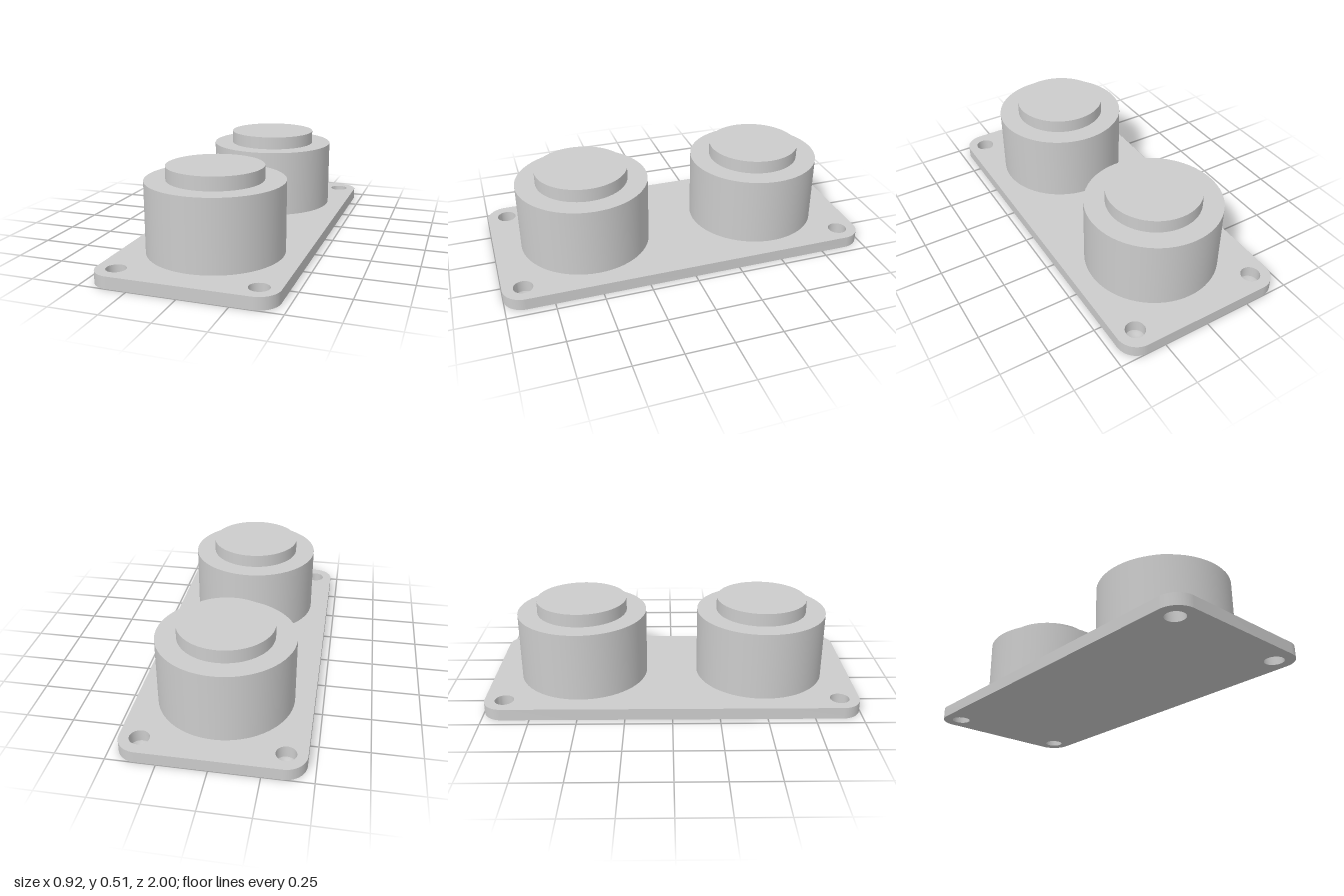
import * as THREE from 'three';
import { toCreasedNormals } from 'three/addons/utils/BufferGeometryUtils.js';

const HALF_W = 0.458, HALF_L = 1, CORNER = 0.107;
const PLATE_TOP = 0.063, BODY_TOP = 0.435, CAP_TOP = 0.506;

const material = new THREE.MeshStandardMaterial({ color: 0xcccccc });

function addMesh(parent, name, geometry) {
  const mesh = new THREE.Mesh(geometry, material);
  mesh.name = name;
  parent.add(mesh);
  return mesh;
}

// Rounded plate with a screw hole through each corner
function plateGeometry() {
  const cx = HALF_W - CORNER, cy = HALF_L - CORNER;
  const shape = new THREE.Shape();
  shape.absarc(cx, cy, CORNER, 0, Math.PI / 2);
  shape.absarc(-cx, cy, CORNER, Math.PI / 2, Math.PI);
  shape.absarc(-cx, -cy, CORNER, Math.PI, Math.PI * 1.5);
  shape.absarc(cx, -cy, CORNER, Math.PI * 1.5, Math.PI * 2);
  shape.closePath();
  for (const sx of [-1, 1]) {
    for (const sy of [-1, 1]) {
      shape.holes.push(new THREE.Path().absarc(sx * 0.355, sy * 0.893, 0.051, 0, Math.PI * 2, true));
    }
  }
  const geometry = new THREE.ExtrudeGeometry(shape, { depth: PLATE_TOP, bevelEnabled: false, curveSegments: 16 });
  geometry.rotateX(-Math.PI / 2);
  return toCreasedNormals(geometry, Math.PI / 6);
}

// Upright cylinder standing between two heights
function drum(radius, bottom, top) {
  return new THREE.CylinderGeometry(radius, radius, top - bottom, 64).translate(0, (bottom + top) / 2, 0);
}

export function createModel() {
  const model = new THREE.Group();
  model.name = 'twinDrumPlate';
  addMesh(model, 'basePlate', plateGeometry());

  // Two stepped drums along the plate
  for (const [name, z] of [['frontDrum', 0.497], ['backDrum', -0.497]]) {
    const group = new THREE.Group();
    group.name = name;
    group.position.z = z;
    addMesh(group, 'drumBody', drum(0.355, PLATE_TOP, BODY_TOP));
    addMesh(group, 'drumCap', drum(0.247, BODY_TOP, CAP_TOP));
    model.add(group);
  }
  return model;
}
